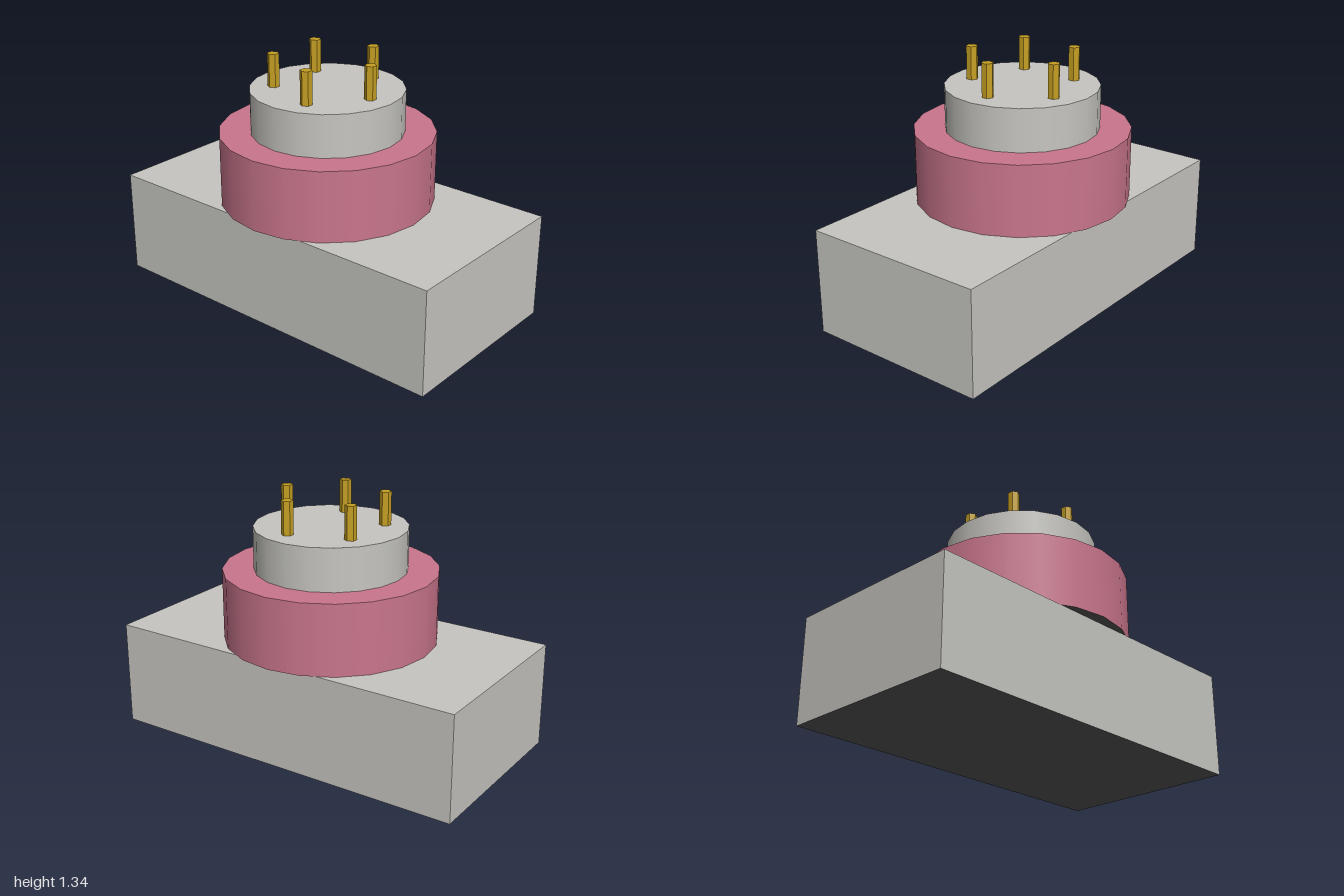
import * as THREE from 'three';

export function createModel() {
  const model = new THREE.Group();
  const material = (name, color) => {
    const m = new THREE.MeshStandardMaterial({ color });
    m.name = name;
    return m;
  };
  const grey = material('warm grey', 0xc7c6c1);
  const pink = material('dusty pink', 0xca768d);
  const gold = material('gold', 0xc6a022);
  const dark = material('dark underside', 0x5c5c5c);
  gold.flatShading = true;

  const add = (name, geometry, mat, x, y, z) => {
    const mesh = new THREE.Mesh(geometry, mat);
    mesh.name = name;
    mesh.position.set(x, y, z);
    model.add(mesh);
  };
  // Upright cylinder with a dark underside, standing between two heights
  const post = (name, radius, bottom, top, sides, mat, x = 0, z = 0) =>
    add(name, new THREE.CylinderGeometry(radius, radius, top - bottom, sides), [mat, mat, dark], x, (bottom + top) / 2, z);

  // Rectangular base block with a dark underside
  add('base', new THREE.BoxGeometry(2, 0.5625, 1), [grey, grey, grey, dark, grey, grey], 0, 0.28125, 0);

  // Stacked round tiers
  post('collar', 0.5625, 0.5625, 0.9375, 20, pink);
  post('cap', 0.4, 0.9375, 1.1625, 20, grey);

  // Ring of five hexagonal pins
  for (let i = 0; i < 5; i++) {
    const a = (i / 5) * Math.PI * 2;
    post('pin' + (i + 1), 0.031, 1.1625, 1.3375, 6, gold, 0.275 * Math.cos(a), 0.275 * Math.sin(a));
  }
  return model;
}
